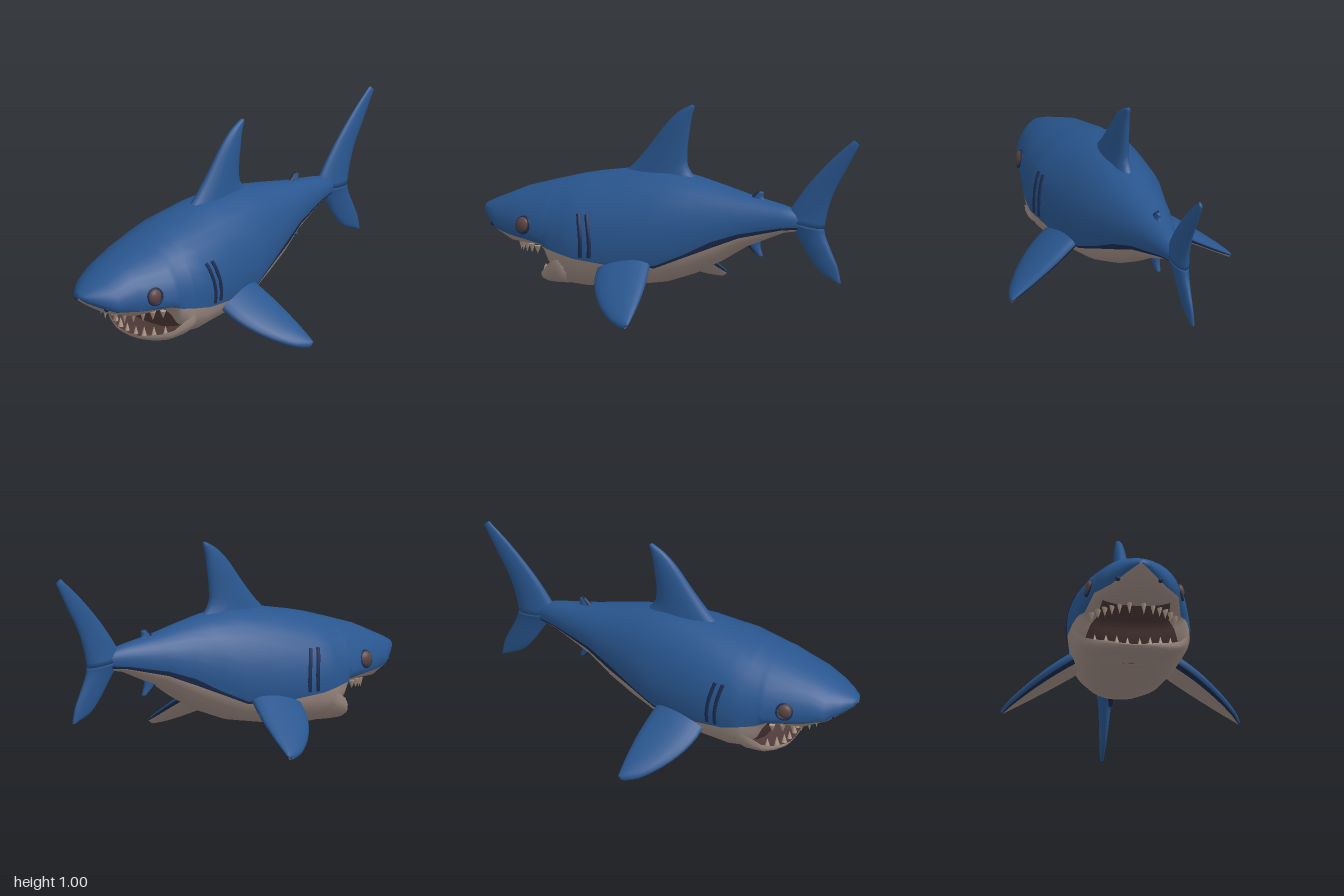
import * as THREE from 'three';

const mat = (name, color) => Object.assign(new THREE.MeshStandardMaterial({ color }), { name });
const V = (x, y, z) => new THREE.Vector3(x, y, z);

// Body stations: x, top, bottom, height of widest point, half width, belly line
const BODY = [
  [-1, .395, .375, .385, .012, .376], [-.985, .408, .358, .38, .05, .362],
  [-.94, .432, .325, .365, .1, .338], [-.88, .46, .285, .345, .155, .312],
  [-.78, .507, .25, .33, .21, .31], [-.6, .565, .25, .33, .262, .288],
  [-.575, .572, .2, .32, .268, .282], [-.555, .578, .13, .31, .273, .278],
  [-.5, .595, .068, .3, .286, .268], [-.485, .599, .067, .3, .289, .265],
  [-.4, .62, .065, .3, .303, .25], [-.2, .66, .085, .3, .275, .225],
  [0, .67, .12, .34, .24, .225], [.14, .647, .173, .38, .195, .285],
  [.27, .62, .245, .41, .16, .34], [.4, .59, .33, .45, .115, .393],
  [.6, .555, .42, .485, .06, .44], [.7, .53, .44, .485, .035, .45],
];
// Lower jaw stations; the top lies below the rim to make a dish
const JAW = [
  [-.662, .1, .094, .105, .07], [-.65, .1, .08, .118, .12], [-.62, .1, .073, .135, .185],
  [-.585, .11, .069, .16, .235], [-.55, .14, .067, .2, .265], [-.5, .17, .069, .23, .284],
  [-.44, .17, .095, .23, .27],
];

const E = .85; // the lower half is a little boxier than an ellipse
const LOW = 8, HALF = 18;
// A dark strip follows the belly line behind this x, widest near the tail
const STRIP_START = -.35;
const strip = (x) => (x > STRIP_START ? .012 + .02 * Math.exp(-(((x - .3) / .12) ** 2)) : .002);

// One closed ring with a fixed number of points in each colour band
function bodyRing([x, top, bot, mid, w, line = mid]) {
  const angleAt = (y) => (y < mid
    ? -Math.asin(((mid - y) / (mid - bot)) ** (1 / E))
    : Math.asin((y - mid) / Math.abs(top - mid)));
  const a0 = angleAt(line), a1 = angleAt(line + strip(x));
  const point = (k, side) => {
    const a = k <= LOW ? -Math.PI / 2 + (a0 + Math.PI / 2) * k / LOW
      : a1 + (Math.PI / 2 - a1) * (k - LOW - 1) / (HALF - LOW - 1);
    const s = Math.sin(a), c = Math.max(0, Math.cos(a));
    return a < 0 ? V(x, mid - (mid - bot) * (-s) ** E, side * w * c ** E)
      : V(x, mid + (top - mid) * s, side * w * c);
  };
  return Array.from({ length: HALF * 2 }, (_, i) => (i <= HALF ? point(i, 1) : point(2 * HALF - i, -1)));
}
const band = (i) => (i < HALF ? i : 2 * HALF - 1 - i);

// Skin over closed rings, capped at both ends; pick(j, i) chooses the material of each cell
function loft(name, rings, materials, pick = () => 0) {
  const n = rings[0].length, pts = rings.flat(), faces = materials.map(() => []);
  for (let j = 0; j < rings.length - 1; j++) for (let i = 0; i < n; i++) {
    const a = j * n + i, b = j * n + (i + 1) % n;
    faces[pick(j, i)].push([a, b, a + n], [b, b + n, a + n]);
  }
  for (const j of [0, rings.length - 1]) {
    const c = pts.length;
    pts.push(rings[j].reduce((s, p) => s.add(p), V(0, 0, 0)).divideScalar(n));
    for (let i = 0; i < n; i++) {
      const a = j * n + i, b = j * n + (i + 1) % n;
      faces[pick(Math.min(j, rings.length - 2), i)].push(j ? [a, b, c] : [b, a, c]);
    }
  }
  // Turn faces outward
  let volume = 0;
  faces.flat().forEach(([a, b, c]) => { volume += pts[a].dot(pts[b].clone().cross(pts[c])); });
  const geo = new THREE.BufferGeometry().setFromPoints(pts), index = [];
  faces.forEach((list, m) => {
    geo.addGroup(index.length, list.length * 3, m);
    list.forEach(([a, b, c]) => index.push(...(volume > 0 ? [a, b, c] : [a, c, b])));
  });
  geo.setIndex(index);
  geo.computeVertexNormals();
  const mesh = new THREE.Mesh(geo, materials);
  mesh.name = name;
  return mesh;
}

// Fin from lens sections: [leading point, trailing point, half thickness]
const SEG = 16;
function fin(name, stations, normal, materials, pick) {
  const rings = stations.map(([lead, trail, th]) => {
    const mid = lead.clone().add(trail).multiplyScalar(.5), half = trail.clone().sub(mid);
    return Array.from({ length: SEG }, (_, i) => {
      const a = i / SEG * Math.PI * 2;
      return mid.clone().addScaledVector(half, Math.cos(a)).addScaledVector(normal, th * Math.sin(a));
    });
  });
  return loft(name, rings, materials, pick);
}
// Upright fin on the centre line: smooth edges through lead and trail points,
// with half thickness th(t) from root (t = 0) to tip (t = 1)
function uprightFin(name, lead, trail, th, materials, pick) {
  const curve = (list) => new THREE.CatmullRomCurve3(list.map(([x, y]) => V(x, y, 0)));
  const a = curve(lead), b = curve(trail), steps = 14;
  return fin(name, Array.from({ length: steps + 1 }, (_, k) => {
    const t = k / steps;
    return [a.getPoint(t), b.getPoint(t), th(t)];
  }), V(0, 0, 1), materials, pick);
}

// Body half width at a given x and y
function sideZ(x, y) {
  const k = BODY.findIndex((r) => r[0] >= x), p = BODY[k - 1], q = BODY[k];
  const [, top, bot, mid, w] = p.map((v, i) => v + (q[i] - v) * (x - p[0]) / (q[0] - p[0]));
  const s = y < mid ? ((mid - y) / (mid - bot)) ** (1 / E) : (y - mid) / (top - mid);
  return w * Math.sqrt(1 - s * s) ** (y < mid ? E : 1);
}

export function createModel() {
  const blue = mat('blue skin', 0x29568f), belly = mat('pale belly', 0xa39087);
  const navy = mat('dark navy', 0x1b2a4c), mouth = mat('mouth inside', 0x4e3a38);
  const ivory = mat('teeth', 0xae9888), brown = mat('eye', 0x5c4543);
  const g = new THREE.Group();
  g.name = 'shark';
  const add = (name, geo, m, pos) => {
    const mesh = new THREE.Mesh(geo, m);
    mesh.name = name;
    mesh.position.set(...pos);
    g.add(mesh);
    return mesh;
  };

  // Body and lower jaw
  g.add(loft('body', BODY.map(bodyRing), [belly, navy, blue, mouth], (j, i) => {
    const b = band(i), x = BODY[j][0];
    if (b < 5 && x > -.85 && x < -.51) return 3;
    if (b < LOW) return 0;
    return b === LOW && x > STRIP_START ? 1 : 2;
  }));
  g.add(loft('lowerJaw', JAW.map(bodyRing), [belly, mouth], (j, i) => (band(i) < LOW + 2 ? 0 : 1)));

  // Fins on the centre line
  g.add(uprightFin('dorsalFin',
    [[-.3, .6], [-.21, .68], [-.12, .788], [-.03, .907], [.035, .97], [.1, 1.008]],
    [[.17, .6], [.085, .69], [.078, .77], [.088, .86], [.1, .94], [.117, 1]],
    (t) => .058 - .047 * t, [blue]));
  const tailThickness = (t) => .042 - .033 * t ** .8;
  g.add(uprightFin('upperTailFin',
    [[.6, .49], [.65, .57], [.735, .685], [.865, .827], [.97, .922]],
    [[.81, .46], [.83, .55], [.865, .65], [.935, .78], [.998, .9]], tailThickness, [blue]));
  g.add(uprightFin('lowerTailFin',
    [[.6, .49], [.66, .42], [.73, .31], [.79, .24], [.88, .197]],
    [[.81, .46], [.82, .42], [.85, .35], [.885, .27], [.9, .195]], tailThickness, [blue]));
  const darkFront = (j, i) => (i > 4 && i < 11 ? 1 : 0);
  g.add(uprightFin('rearDorsalFin',
    [[.39, .56], [.43, .59], [.46, .617]], [[.51, .55], [.485, .585], [.487, .605]],
    (t) => .02 - .011 * t, [blue, navy], darkFront));
  g.add(uprightFin('analFin',
    [[.36, .37], [.41, .325], [.455, .29]], [[.47, .39], [.468, .34], [.483, .285]],
    (t) => .026 - .015 * t, [blue, navy], darkFront));

  // Pectoral fin edges from root to tip, seen from above as x, z; the fin slopes down outward
  const edge = (list) => new THREE.SplineCurve(list.map((p) => new THREE.Vector2(...p)));
  const leadEdge = edge([[-.3, .18], [-.27, .33], [-.195, .45], [-.09, .545], [-.005, .582]]);
  const trailEdge = edge([[-.03, .18], [.008, .34], [.022, .45], [.026, .54], [.025, .582]]);
  const finY = (z) => .255 - .6 * (z - .18);

  for (const s of [1, -1]) {
    const side = s > 0 ? 'left' : 'right';

    // Pectoral fin: blue above and around the rim, then navy, pale below
    const rows = Array.from({ length: 15 }, (_, k) => {
      const t = k / 14, l = leadEdge.getPoint(t), r = trailEdge.getPoint(t);
      return [V(l.x, finY(l.y) - .008, l.y * s), V(r.x, finY(r.y) + .01, r.y * s), .045 - .036 * t ** 1.3];
    });
    g.add(fin(`${side}PectoralFin`, rows, V(0, .84, .54 * s), [blue, navy, belly], (j, i) => {
      if (i <= SEG / 2) return 0;
      return i === SEG / 2 + 1 || i === SEG - 1 ? 1 : 2;
    }));

    // Eye in a dark socket, and nostril
    const eyeZ = s * (sideZ(-.7, .37) - .012);
    add(`${side}Eye`, new THREE.SphereGeometry(.04, 20, 14), brown, [-.7, .37, eyeZ]).scale.z = .65;
    add(`${side}EyeSocket`, new THREE.TorusGeometry(.038, .008, 8, 24), navy,
      [-.7, .37, eyeZ + .006 * s]).rotation.set(-.25 * s, -.25 * s, 0);
    add(`${side}Nostril`, new THREE.SphereGeometry(.013, 10, 8), navy,
      [-.915, .33, s * (sideZ(-.915, .33) - .005)]);

    // Gill slits following the flank
    for (const [x0, x1] of [[-.39, -.362], [-.348, -.318]]) {
      const path = Array.from({ length: 8 }, (_, i) => {
        const t = i / 7, y = .465 - .205 * t, x = x0 + (x1 - x0) * Math.sin(t * 2);
        return V(x, y, s * (sideZ(x, y) - .006));
      });
      add(`${side}GillSlit`, new THREE.TubeGeometry(new THREE.CatmullRomCurve3(path), 20, .012, 8), navy, [0, 0, 0]);
    }

    // Teeth along the curve of each jaw
    for (let k = 0; k < 6; k++) {
      const t = k / 5, h = .05 - .03 * t;
      add('upperTooth', new THREE.ConeGeometry(.016, h + .02, 6), ivory,
        [-.79 + .16 * t ** 1.4, .26 - h / 2, s * (.035 + .17 * t ** .8)]).rotation.x = Math.PI;
    }
    for (let k = 0; k < 4; k++) {
      const t = k / 3;
      add('lowerTooth', new THREE.ConeGeometry(.014, .05, 6), ivory,
        [-.645 + .05 * t * t, .118 + .032 * t, s * (.03 + .155 * t)]);
    }
  }
  return g;
}
